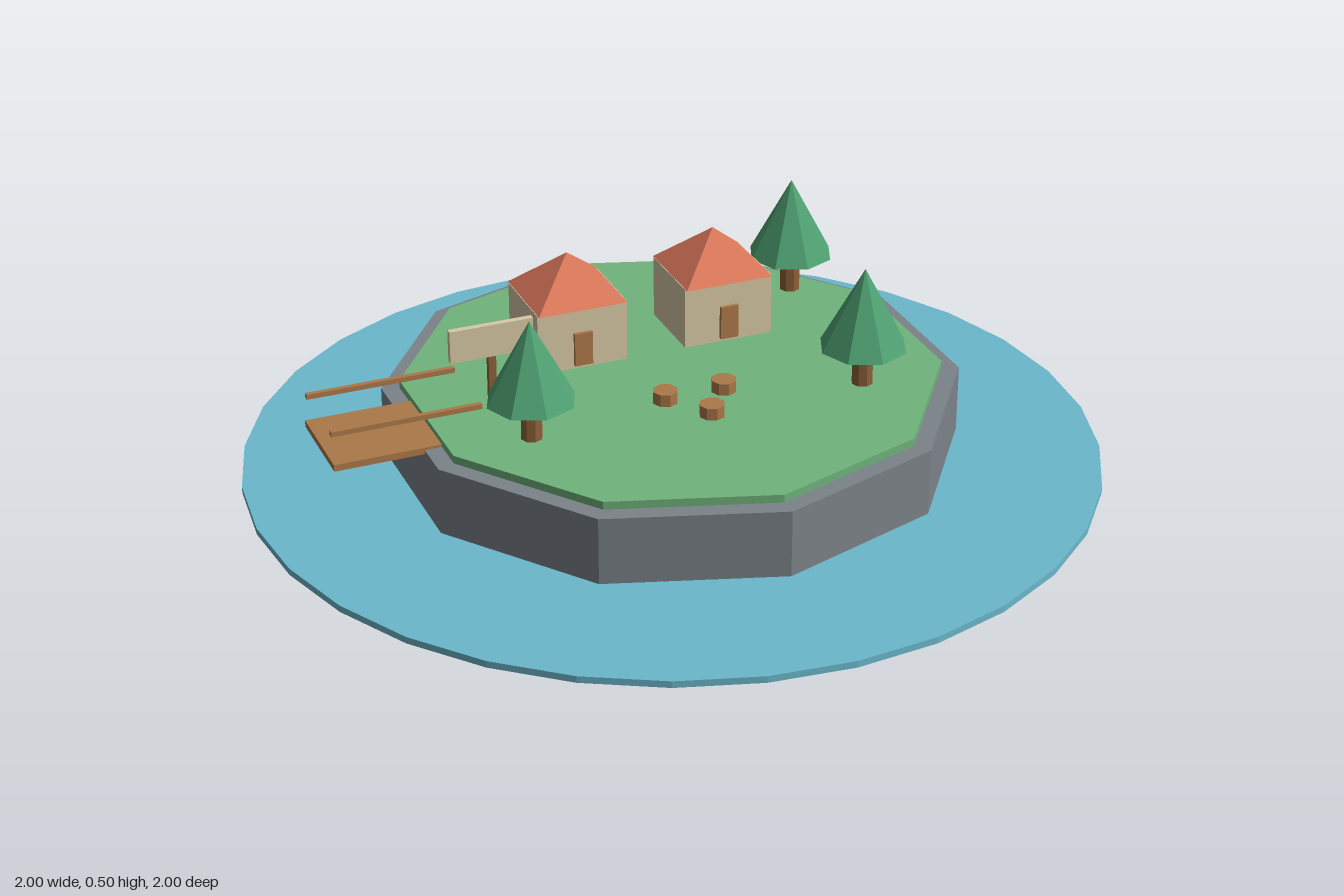
import * as THREE from 'three';

const mat = (color) => new THREE.MeshStandardMaterial({ color, flatShading: true });
const M = {
  water: mat(0x6cb8cc), rock: mat(0x7c8389), grass: mat(0x70b47c), wall: mat(0xd8c8a4),
  roof: mat(0xdb785a), leaf: mat(0x4fa273), wood: mat(0xac7848), trunk: mat(0x8f6138),
};

const GROUND = 0.214;

function add(parent, name, geometry, material, x, y, z) {
  const mesh = new THREE.Mesh(geometry, material);
  mesh.name = name;
  mesh.position.set(x, y, z);
  parent.add(mesh);
  return mesh;
}
const box = (w, h, d) => new THREE.BoxGeometry(w, h, d);
const cyl = (r, h, n) => new THREE.CylinderGeometry(r, r, h, n);

function group(parent, name, x, y, z) {
  const g = new THREE.Group();
  g.name = name;
  g.position.set(x, y, z);
  parent.add(g);
  return g;
}

function addHouse(parent, x) {
  const house = group(parent, 'house', x, GROUND, -0.193);
  add(house, 'walls', box(0.22, 0.15, 0.194), M.wall, 0, 0.075, 0);
  add(house, 'door', box(0.044, 0.082, 0.012), M.wood, 0, 0.05, 0.1);
  // four-sided pyramid turned square to the walls
  const roof = new THREE.ConeGeometry(0.154, 0.101, 4).rotateY(Math.PI / 4);
  add(house, 'roof', roof, M.roof, 0, 0.2, 0).scale.z = 0.97;
}

function addTree(parent, x, z) {
  const tree = group(parent, 'tree', x, GROUND, z);
  add(tree, 'trunk', cyl(0.025, 0.1, 8), M.trunk, 0, 0.048, 0);
  add(tree, 'foliage', new THREE.ConeGeometry(0.103, 0.193, 8), M.leaf, 0, 0.1895, 0);
}

export function createModel() {
  const model = new THREE.Group();
  model.name = 'island';

  // water disc and ten-sided island
  add(model, 'water', cyl(1, 0.016, 32), M.water, 0, 0.008, 0);
  add(model, 'rockBase', cyl(0.67, 0.16, 10), M.rock, 0, 0.115, 0);
  add(model, 'grass', cyl(0.628, 0.022, 10), M.grass, 0, 0.203, 0);

  for (const s of [-1, 1]) addHouse(model, s * 0.183);
  for (const [x, z] of [[-0.41, 0.18], [0.38, 0.22], [0.435, -0.3]]) addTree(model, x, z);
  for (const [x, z] of [[-0.072, 0.135], [0.072, 0.135], [0, 0.235]])
    add(model, 'stump', cyl(0.03, 0.03, 8), M.wood, x, GROUND + 0.014, z);

  // pier with two handrails
  const pier = group(model, 'pier', -0.67, 0, 0);
  add(pier, 'deck', box(0.35, 0.016, 0.225), M.wood, 0, 0.193, 0);
  for (const s of [-1, 1]) add(pier, 'rail', box(0.348, 0.012, 0.012), M.wood, 0, 0.27, s * 0.095);

  // signpost
  const sign = group(model, 'sign', -0.438, GROUND, 0);
  add(sign, 'signPost', box(0.018, 0.13, 0.014), M.trunk, 0, 0.063, 0);
  add(sign, 'signBoard', box(0.197, 0.078, 0.015), M.wall, 0, 0.164, 0);

  return model;
}
